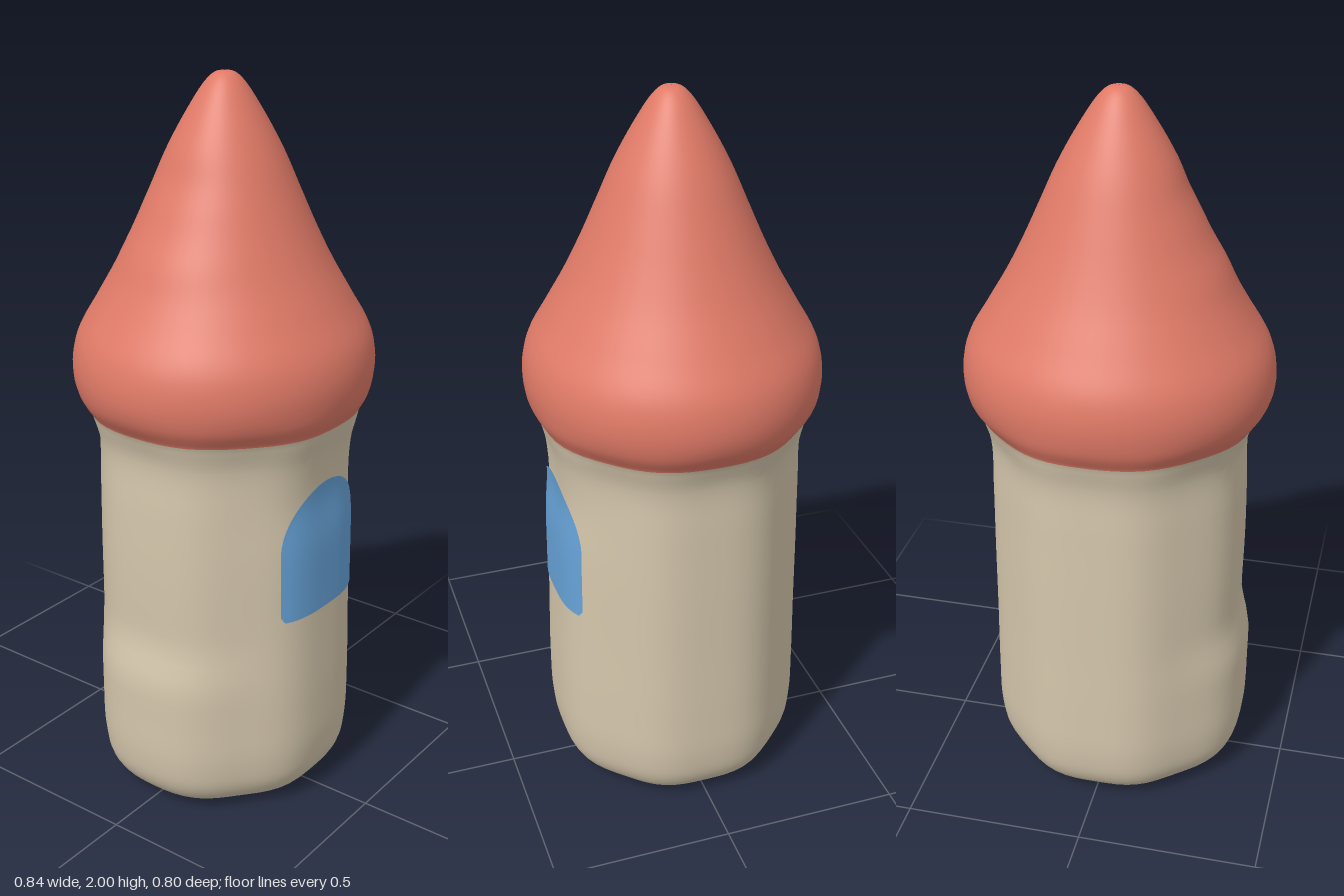
import * as THREE from 'three';

const SEGMENTS = 64;
const bump = (v, centre, width) => Math.exp(-(((v - centre) / width) ** 2));
const smooth = THREE.MathUtils.smoothstep;

// Radius and height, from the middle of the base up to the tip
const wallProfile = [
  [0.001, 0.004], [0.15, 0.004], [0.24, 0.007], [0.3, 0.03], [0.335, 0.08], [0.35, 0.16], [0.352, 0.3],
  [0.35, 0.5], [0.349, 0.7], [0.347, 0.9], [0.348, 1.04], [0.37, 1.12],
];
const roofProfile = [
  [0.37, 1.12], [0.4, 1.17], [0.412, 1.24], [0.398, 1.32], [0.345, 1.415], [0.29, 1.51], [0.245, 1.6],
  [0.2, 1.7], [0.155, 1.8], [0.1, 1.9], [0.05, 1.975], [0.025, 1.996], [0.001, 2],
];

function smoothRows(profile, count) {
  const curve = new THREE.CatmullRomCurve3(profile.map(([r, y]) => new THREE.Vector3(r, y, 0)), false, 'centripetal');
  return curve.getPoints(count);
}

// Soft eight-sided wall, slightly oval roof and a few hand-shaped dents; angle 0 faces +z
function surfacePoint(angle, radius, y, target = new THREE.Vector3()) {
  const s = Math.sin(angle), c = Math.cos(angle);
  const roof = smooth(y, 1.05, 1.22);
  const left = Math.max(0, -s) ** 4, front = Math.max(0, c) ** 4;
  let k = 1 - 0.014 * (1 - roof) * Math.cos(8 * angle);
  k += roof * (0.018 * s * s - 0.03 * c * c);
  k += left * (0.09 * (1 - smooth(y, 0.38, 0.54)) + 0.035 * bump(y, 0.8, 0.35));
  k += left * 0.03 * (bump(y, 1.55, 0.06) - bump(y, 1.75, 0.05));
  k += front * (0.02 * bump(y, 0.3, 0.3) - 0.03 * bump(y, 0.92, 0.09));
  return target.set(s * radius * k, y, c * radius * k);
}

function gridGeometry(points, columns, closed) {
  const geometry = new THREE.BufferGeometry().setFromPoints(points);
  const index = [];
  const rows = points.length / columns;
  for (let j = 0; j < rows - 1; j++) {
    for (let i = 0; i < (closed ? columns : columns - 1); i++) {
      const n = (i + 1) % columns;
      const a = j * columns + i, b = j * columns + n;
      index.push(a, b, b + columns, a, b + columns, a + columns);
    }
  }
  geometry.setIndex(index);
  geometry.computeVertexNormals();
  return geometry;
}

// Arched window following the wall
function windowGeometry() {
  const columns = 17, rows = 32, points = [];
  for (let j = 0; j <= rows; j++) {
    const t = j / rows;
    const y = 0.595 + 0.37 * (1 - (1 - t) ** 1.6);
    let half = 0.17;
    if (y > 0.79) half = 0.17 * Math.sqrt(Math.max(0, 1 - ((y - 0.79) / 0.175) ** 2)) + 0.0005;
    if (y < 0.615) half -= 0.012 * ((0.615 - y) / 0.02) ** 2;
    for (let i = 0; i < columns; i++) {
      const x = half * (i / (columns - 1) * 2 - 1);
      let angle = Math.asin(x / 0.35);
      for (let n = 0; n < 4; n++) {
        const p = surfacePoint(angle, 0.353, y);
        angle += (x - p.x) / 0.35;
      }
      points.push(surfacePoint(angle, 0.353, y));
    }
  }
  return gridGeometry(points, columns, false);
}

export function createModel() {
  const group = new THREE.Group();
  group.name = 'tower';
  const material = (name, color) => {
    const m = new THREE.MeshStandardMaterial({ color });
    m.name = name;
    return m;
  };
  const add = (name, geometry, mat) => {
    const mesh = new THREE.Mesh(geometry, mat);
    mesh.name = name;
    group.add(mesh);
  };

  // One continuous skin, split into wall and roof at the eaves so the shading flows across
  const wallRows = smoothRows(wallProfile, 56);
  const roofRows = smoothRows(roofProfile, 56);
  const points = [];
  for (const row of [...wallRows, ...roofRows.slice(1)]) {
    for (let i = 0; i < SEGMENTS; i++) {
      points.push(surfacePoint(i / SEGMENTS * Math.PI * 2, row.x, row.y));
    }
  }
  const skin = gridGeometry(points, SEGMENTS, true);
  const indices = Array.from(skin.index.array);
  const split = (wallRows.length - 1) * SEGMENTS * 6;
  const wall = skin.clone().setIndex(indices.slice(0, split));
  const roof = skin.clone().setIndex(indices.slice(split));

  add('towerWall', wall, material('stone', 0xd4c6ac));
  add('pointedRoof', roof, material('roofRed', 0xe07a67));
  add('archedWindow', windowGeometry(), material('windowBlue', 0x67a3d8));
  return group;
}
